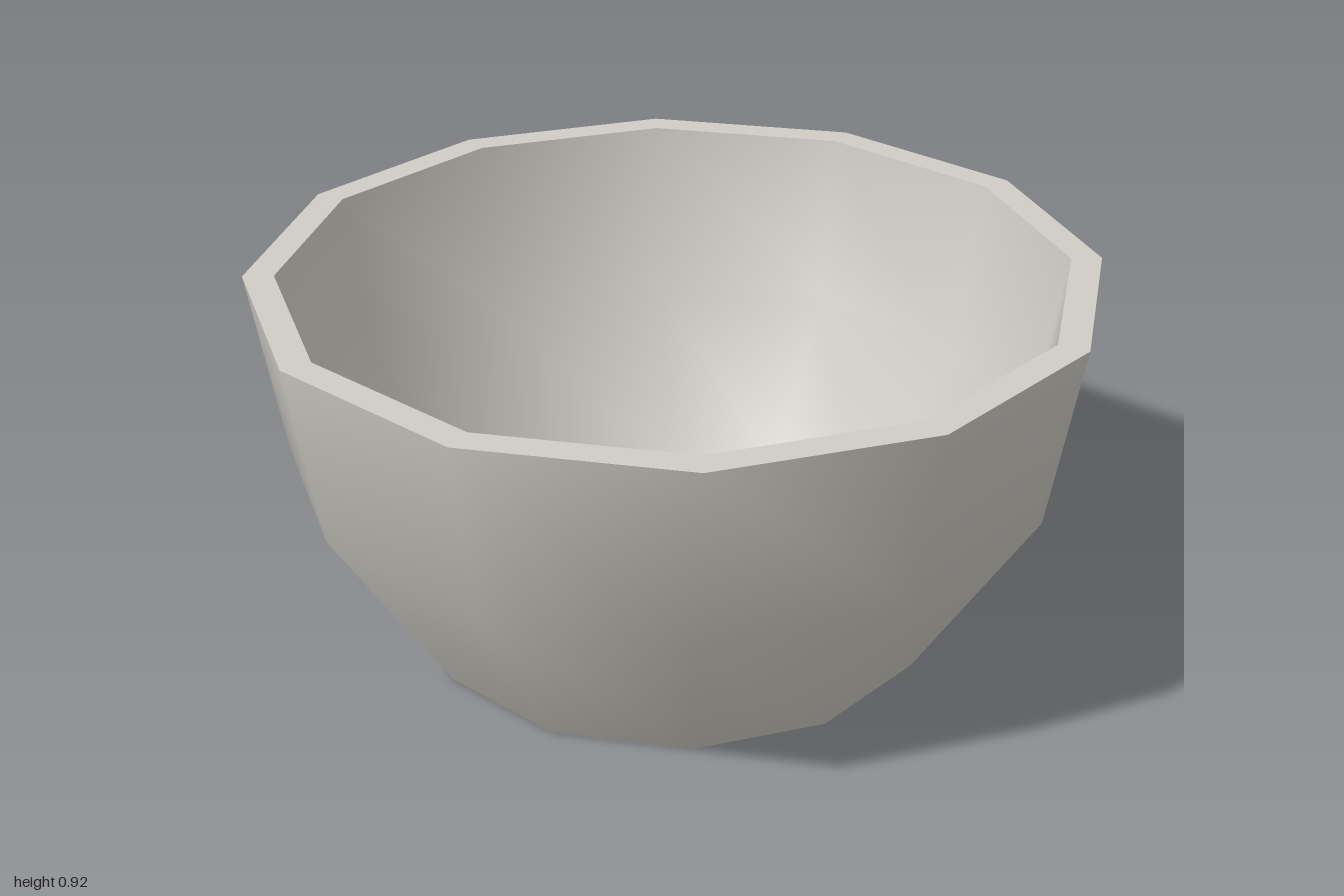
import * as THREE from 'three';

export function createModel() {
  const bowl = new THREE.Group();
  bowl.name = 'bowl';
  const ceramic = new THREE.MeshStandardMaterial({ color: 0xcfcdc5 });
  ceramic.name = 'pale grey ceramic';

  // Twelve-sided revolved part; separate parts keep the edges between them sharp
  const addRing = (name, profile) => {
    const points = profile.map(([r, y]) => new THREE.Vector2(r, y));
    const mesh = new THREE.Mesh(new THREE.LatheGeometry(points, 12), ceramic);
    mesh.name = name;
    bowl.add(mesh);
  };

  const height = 0.915, floor = 0.06;
  addRing('base', [[0, 0], [0.63, 0]]);
  addRing('outerWall', [[0.63, 0], [0.925, 0.47], [1, height]]);
  addRing('rim', [[1, height], [0.927, height]]);
  addRing('innerWall', [[0.927, height], [0.855, 0.48], [0.61, floor]]);
  addRing('innerFloor', [[0.61, floor], [0, floor]]);

  return bowl;
}
